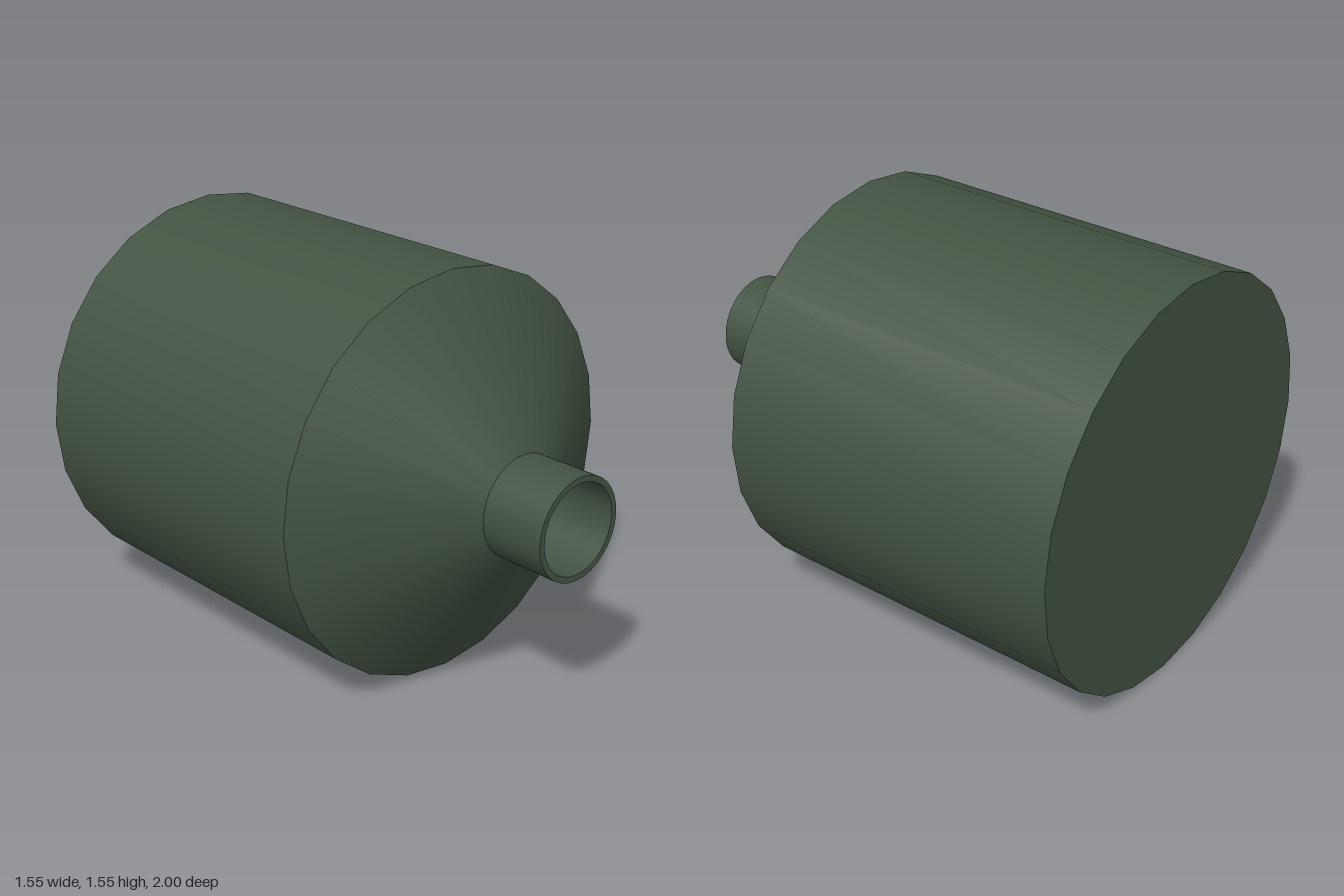
import * as THREE from 'three';

const R = 0.775, NECK = 0.193, BORE = 0.17;
const BACK = -1, SHOULDER = 0.38, NECK_BASE = 0.74, FRONT = 1;

export function createModel() {
  const group = new THREE.Group();
  const green = new THREE.MeshStandardMaterial({ color: 0x435443 });
  const inner = green.clone();
  inner.side = THREE.BackSide;

  const add = (name, geometry, z, material = green) => {
    const mesh = new THREE.Mesh(geometry, material);
    mesh.name = name;
    mesh.position.set(0, R, z);
    group.add(mesh);
    return mesh;
  };
  // open tube or cone along z, from z0 to z1
  const tube = (name, r0, r1, z0, z1, sides, material) =>
    add(name, new THREE.CylinderGeometry(r1, r0, z1 - z0, sides, 1, true).rotateX(Math.PI / 2),
      (z0 + z1) / 2, material);

  // main drum and its flat back
  tube('body', R, R, BACK, SHOULDER, 24);
  add('backPlate', new THREE.CircleGeometry(R, 24).rotateY(Math.PI), BACK);

  // tapered shoulder
  tube('shoulder', R, NECK, SHOULDER, NECK_BASE, 24);

  // hollow neck: outer wall, bore, rim and floor
  tube('neck', NECK, NECK, NECK_BASE - 0.004, FRONT, 32);
  tube('neckBore', BORE, BORE, NECK_BASE, FRONT, 32, inner);
  add('neckRim', new THREE.RingGeometry(BORE, NECK, 32), FRONT);
  add('neckFloor', new THREE.CircleGeometry(NECK, 32), NECK_BASE);

  return group;
}
